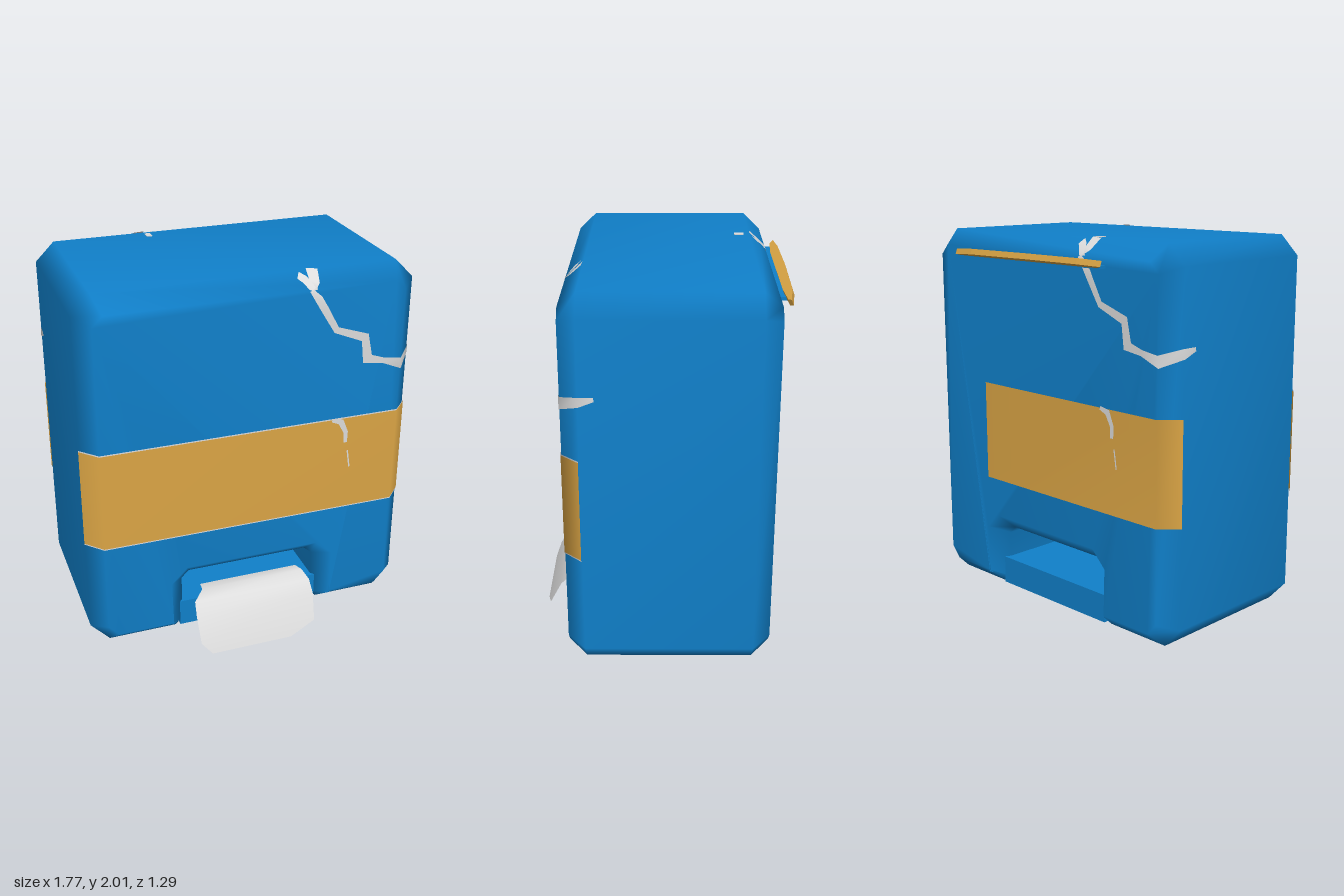
import * as THREE from 'three';
import { mergeVertices } from 'three/addons/utils/BufferGeometryUtils.js';

const material = (name, color, side = THREE.FrontSide) => {
  const m = new THREE.MeshStandardMaterial({ color, side });
  m.name = name;
  return m;
};

// Merge vertices so that normals run smoothly over the chamfers.
function soften(geometry) {
  geometry.deleteAttribute('uv');
  geometry.deleteAttribute('normal');
  const merged = mergeVertices(geometry, 1e-4);
  merged.computeVertexNormals();
  return merged;
}

// Surface strip through pairs of points.
function strip(pairs) {
  const index = [];
  for (let i = 0; i < pairs.length - 1; i++) {
    const a = i * 2;
    index.push(a, a + 1, a + 2, a + 1, a + 3, a + 2);
  }
  const g = new THREE.BufferGeometry();
  g.setAttribute('position', new THREE.Float32BufferAttribute(pairs.flat(2), 3));
  g.setIndex(index);
  g.computeVertexNormals();
  return g;
}

// Wraps flat front coordinates over the chamfered right and top edges.
function wrap(u, v, lift) {
  let x = u, y = v, z = 0.47 + lift;
  if (u > 0.8) {
    const t = Math.min((u - 0.8) / 0.12, 1);
    x = 0.8 + 0.08 * t + lift;
    z -= 0.09 * t + Math.max(0, u - 0.92);
  }
  if (v > 1.92) {
    z -= (v - 1.92) * 1.125;
    y += lift;
  }
  return [x, y, z];
}

// Crack of varying width along points [u, v, width].
function crackGeometry(points, lift) {
  return strip(points.map(([u, v, w], i) => {
    const a = points[Math.max(0, i - 1)], b = points[Math.min(points.length - 1, i + 1)];
    const dx = b[0] - a[0], dy = b[1] - a[1], l = Math.hypot(dx, dy);
    const ox = -dy / l * w / 2, oy = dx / l * w / 2;
    return [wrap(u + ox, v + oy, lift), wrap(u - ox, v - oy, lift)];
  }));
}

export function createModel() {
  const model = new THREE.Group();
  model.name = 'dispenser';
  const blue = material('blue casing', 0x1080ca);
  const ochre = material('ochre', 0xdba545, THREE.DoubleSide);
  const pale = material('pale grey', 0xdcdcdc, THREE.DoubleSide);

  function add(parent, name, geometry, mat) {
    const mesh = new THREE.Mesh(geometry, mat);
    mesh.name = name;
    parent.add(mesh);
    return mesh;
  }

  // Casing: chamfered block with an opening running through the bottom
  const outline = [
    [-0.78, 0.04], [-0.41, 0.04], [-0.37, 0.08], [-0.37, 0.34], [-0.33, 0.38],
    [0.34, 0.38], [0.385, 0.34], [0.385, 0.08], [0.42, 0.04], [0.78, 0.04],
    [0.88, 0.15], [0.88, 1.9], [0.78, 2], [-0.78, 2], [-0.88, 1.9], [-0.88, 0.15],
  ].map(([x, y]) => new THREE.Vector2(x, y));
  const casing = new THREE.ExtrudeGeometry(new THREE.Shape(outline), {
    depth: 0.85, bevelEnabled: true, bevelThickness: 0.09, bevelSize: 0.08,
    bevelOffset: -0.08, bevelSegments: 1,
  });
  casing.translate(0, 0, -0.47);
  add(model, 'casing', soften(casing), blue);

  // Floor of the opening
  const floor = new THREE.BoxGeometry(0.79, 0.15, 0.9);
  floor.translate(0.007, 0.125, -0.05);
  add(model, 'openingFloor', floor, blue);

  // Painted band and cracks, used on the front and turned round on the back
  const mainCrack = [
    [0.32, 2.0, 0.06], [0.315, 1.95, 0.05], [0.3, 1.92, 0.04], [0.36, 1.82, 0.04], [0.43, 1.7, 0.035],
    [0.59, 1.64, 0.05], [0.61, 1.52, 0.06], [0.7, 1.5, 0.03], [0.8, 1.47, 0.06],
    [0.92, 1.505, 0.05], [1.0, 1.52, 0.02],
  ];
  const sideBranch = [[0.24, 1.98, 0.03], [0.27, 1.96, 0.035], [0.3, 1.92, 0.03]];
  const bandCrack = [[0.43, 1.2, 0.02], [0.48, 1.185, 0.035], [0.51, 1.12, 0.025], [0.51, 1.06, 0.02]];
  const hairline = [[0.525, 1.01, 0.008], [0.54, 0.91, 0.008]];

  function paint(name, bandPath, trim) {
    const face = new THREE.Group();
    face.name = name;
    const band = (y0, y1) => strip(bandPath.map(([x, z]) => [[x, y1, z], [x, y0, z]]));
    add(face, 'band', band(0.67, 1.2), ochre);
    if (trim) {
      add(face, 'bandTopTrim', band(1.2, 1.207), pale);
      add(face, 'bandBottomTrim', band(0.664, 0.67), pale);
    }
    add(face, 'crack', crackGeometry(mainCrack, 0.004), pale);
    add(face, 'crackBranch', crackGeometry(sideBranch, 0.005), pale);
    add(face, 'bandCrack', crackGeometry(bandCrack, 0.007), pale);
    add(face, 'hairCrack', crackGeometry(hairline, 0.007), pale);
    model.add(face);
    return face;
  }
  const rightEnd = [[0.8, 0.474], [0.884, 0.385]];
  paint('frontPaint', [[-0.884, 0.385], [-0.8, 0.474], ...rightEnd], true);
  const back = paint('backPaint', [[-0.45, 0.474], ...rightEnd], false);
  back.rotation.y = Math.PI;
  back.position.z = -0.09;

  // Small chip on the top
  const chip = new THREE.BoxGeometry(0.03, 0.006, 0.05);
  chip.translate(-0.28, 2.001, -0.415);
  add(model, 'topChip', chip, pale);

  // Paper sheet hanging out: rows of [y, z, left edge, right edge]
  const rows = [
    [0.26, 0.36, -0.26, 0.3], [0.275, 0.43, -0.27, 0.31], [0.245, 0.49, -0.33, 0.33],
    [0.19, 0.55, -0.34, 0.33], [0.06, 0.615, -0.335, 0.315], [0, 0.64, -0.28, 0.17],
  ];
  add(model, 'paperSheet', strip(rows.map(([y, z, l, r]) => [[l, y, z], [r, y, z]])), pale);

  // Tapered slat behind the upper edge, with the strip that holds it
  const slatOutline = [
    [-0.5, 0.015], [-0.35, 0.028], [0, 0.032], [0.45, 0.025], [0.6, 0.005],
    [0.58, -0.01], [0.4, -0.02], [-0.3, -0.02], [-0.46, -0.008],
  ].map(([x, y]) => new THREE.Vector2(x, y));
  const slat = new THREE.ExtrudeGeometry(new THREE.Shape(slatOutline), { depth: 0.03, bevelEnabled: false });
  slat.translate(0, 0, -0.015);
  slat.rotateX(-Math.PI / 2 + 0.35);
  slat.translate(0, 1.893, -0.612);
  add(model, 'backSlat', slat, ochre);
  const holder = new THREE.BoxGeometry(0.95, 0.015, 0.06);
  holder.translate(0.01, 1.878, -0.575);
  add(model, 'slatHolder', holder, blue);

  return model;
}
